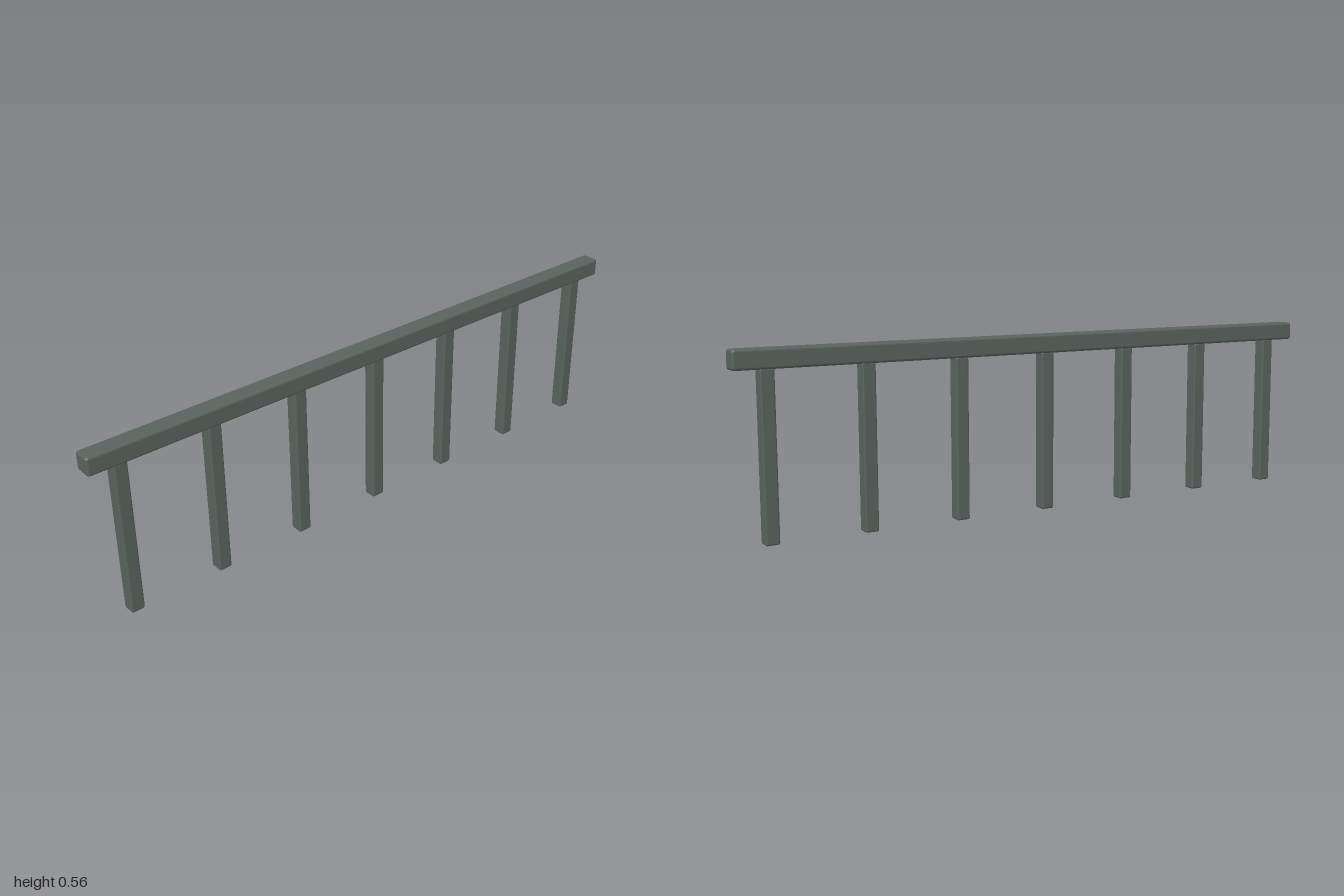
import * as THREE from 'three';
import { RoundedBoxGeometry } from 'three/addons/geometries/RoundedBoxGeometry.js';

// Long square handrail carried by evenly spaced square posts
export function createModel() {
  const model = new THREE.Group();
  model.name = 'railing';

  const paintedMetal = new THREE.MeshStandardMaterial({ color: 0x59635d });
  paintedMetal.name = 'grey green metal';

  const railSize = 0.058, railTop = 0.555;
  const postSize = 0.043, postHeight = 0.5;
  const postCount = 7, spacing = 0.3;

  // Handrail
  const rail = new THREE.Mesh(new RoundedBoxGeometry(2, railSize, railSize, 2, 0.008), paintedMetal);
  rail.name = 'handrail';
  rail.position.y = railTop - railSize / 2;
  model.add(rail);

  // Posts, reaching just into the underside of the rail
  const postGeometry = new RoundedBoxGeometry(postSize, postHeight, postSize, 2, 0.006);
  for (let i = 0; i < postCount; i++) {
    const post = new THREE.Mesh(postGeometry, paintedMetal);
    post.name = `post${i + 1}`;
    post.position.set((i - (postCount - 1) / 2) * spacing, postHeight / 2, 0);
    model.add(post);
  }

  return model;
}
